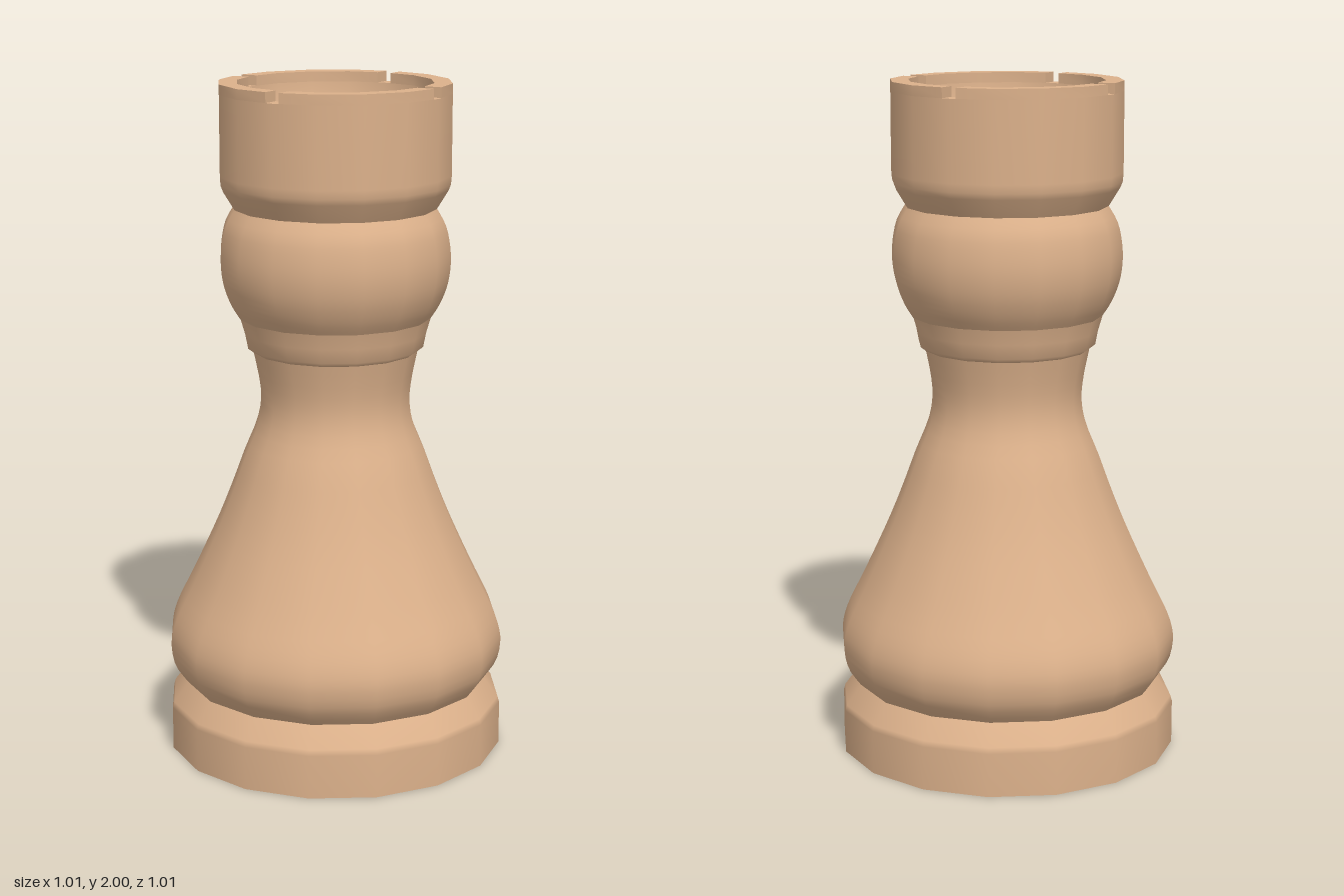
import * as THREE from 'three';
import { toCreasedNormals } from 'three/addons/utils/BufferGeometryUtils.js';

const SIDES = 16;
const RIM_OUT = 0.34, RIM_IN = 0.287, RIM_Y = 1.97, TOP_Y = 2, NOTCH = 0.022;

export function createModel() {
  const group = new THREE.Group();
  const wood = new THREE.MeshStandardMaterial({ color: 0xdcb18b });
  wood.name = 'paleWood';

  const add = (name, geometry) => {
    const mesh = new THREE.Mesh(geometry, wood);
    mesh.name = name;
    group.add(mesh);
    return mesh;
  };
  const vectors = (points) => points.map(([r, y]) => new THREE.Vector2(r, y));
  // Turned section; separate sections keep the grooves between them sharp
  const turn = (name, points) => add(name, new THREE.LatheGeometry(vectors(points), SIDES));
  const turnCurve = (name, points, steps) =>
    add(name, new THREE.LatheGeometry(new THREE.SplineCurve(vectors(points)).getPoints(steps), SIDES));

  // Foot
  turn('footUnderside', [[0, 0], [0.505, 0]]);
  turn('foot', [[0.505, 0], [0.505, 0.13], [0.5, 0.147], [0.456, 0.207]]);

  // Flared body rising to the narrow neck
  turnCurve('body', [
    [0.456, 0.207], [0.492, 0.26], [0.505, 0.32], [0.5, 0.37], [0.48, 0.425],
    [0.44, 0.505], [0.395, 0.6], [0.35, 0.7], [0.31, 0.8], [0.273, 0.9],
    [0.236, 0.99], [0.223, 1.06], [0.228, 1.13], [0.245, 1.215],
  ], 32);

  // Collar and rounded bulge
  turn('collar', [[0.245, 1.215], [0.262, 1.228], [0.27, 1.27], [0.283, 1.315]]);
  turnCurve('bulge', [
    [0.283, 1.315], [0.308, 1.355], [0.33, 1.41], [0.34, 1.47],
    [0.338, 1.53], [0.325, 1.59], [0.298, 1.638],
  ], 18);

  // Tower wall, notch floor level and hollow bowl
  turn('tower', [[0.298, 1.638], [0.331, 1.692], [0.338, 1.71], [RIM_OUT, 1.735], [RIM_OUT, RIM_Y]]);
  turn('notchFloor', [[RIM_OUT, RIM_Y], [RIM_IN, RIM_Y]]);
  const bowl = [];
  for (let i = 0; i <= 8; i++) {
    const a = (i / 8) * Math.PI / 2;
    bowl.push([RIM_IN * Math.cos(a), RIM_Y - 0.26 * Math.sin(a)]);
  }
  turn('bowl', bowl);

  // Four rim quarters separated by parallel-sided notches
  const arc = (r) => {
    const edge = r - NOTCH * Math.tan(Math.PI / SIDES);
    const points = [[edge, NOTCH]];
    for (let i = 1; i <= 3; i++) {
      const a = i * 2 * Math.PI / SIDES;
      points.push([r * Math.cos(a), r * Math.sin(a)]);
    }
    points.push([NOTCH, edge]);
    return points;
  };
  const outline = new THREE.Shape(vectors([...arc(RIM_OUT), ...arc(RIM_IN).reverse()]));
  const quarter = toCreasedNormals(
    new THREE.ExtrudeGeometry(outline, { depth: TOP_Y - RIM_Y, bevelEnabled: false }).rotateX(-Math.PI / 2), 0.6);
  for (let i = 0; i < 4; i++) {
    const part = add('rimQuarter' + (i + 1), quarter);
    part.position.y = RIM_Y;
    part.rotation.y = i * Math.PI / 2;
  }

  return group;
}
